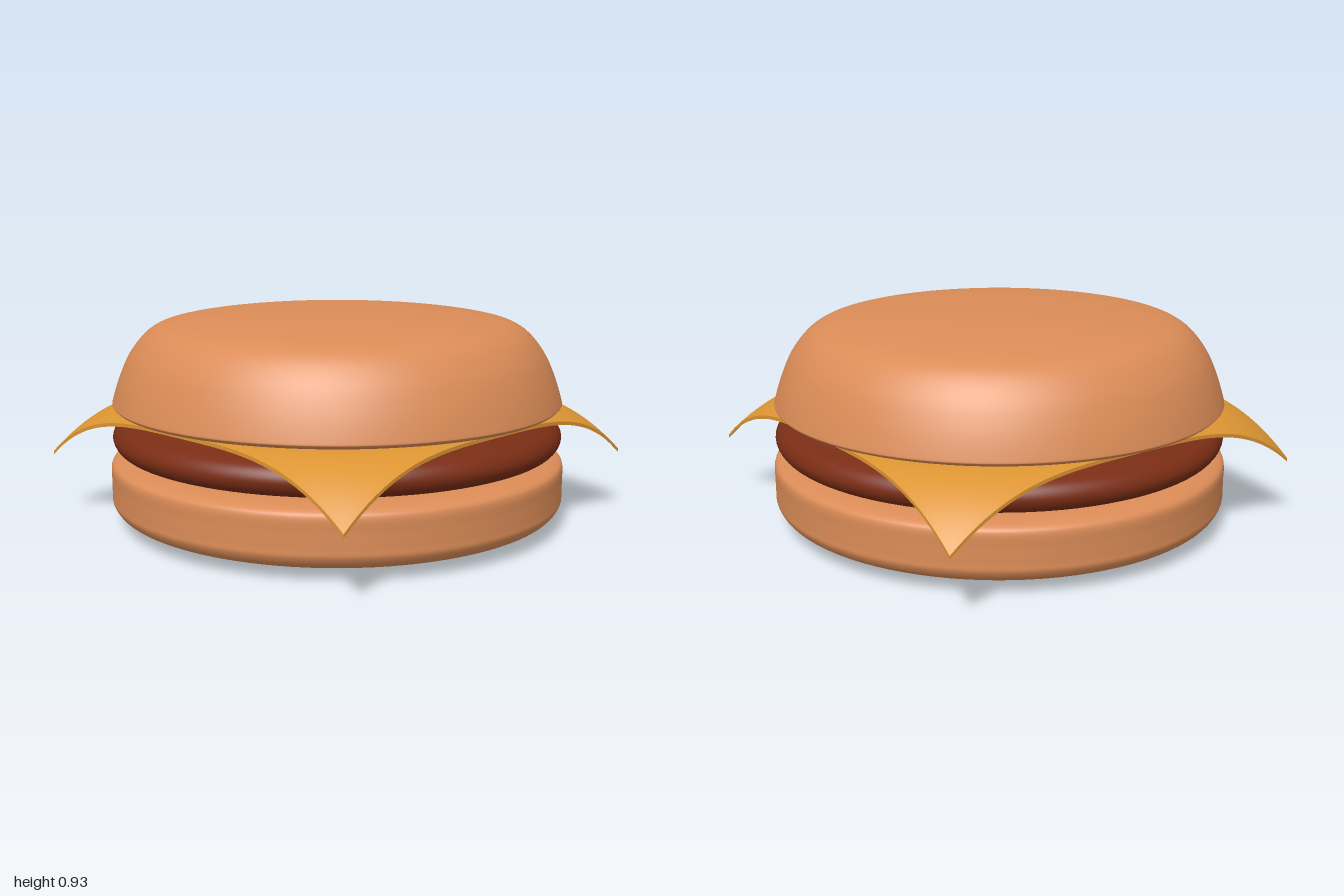
import * as THREE from 'three';

// Smooth round body turned from a few [radius, height] points, bottom to top
function turned(name, color, points) {
  const curve = new THREE.SplineCurve(points.map(([r, y]) => new THREE.Vector2(r, y)));
  const profile = curve.getPoints(64);
  profile.forEach((p) => { p.x = Math.max(p.x, 0); });
  const mesh = new THREE.Mesh(
    new THREE.LatheGeometry(profile, 96),
    new THREE.MeshStandardMaterial({ color })
  );
  mesh.name = name;
  return mesh;
}

// Thin square slice whose corners droop beyond the round patty
function cheeseSlice() {
  const size = 1.8, thickness = 0.015, top = 0.5;
  const geometry = new THREE.BoxGeometry(size, thickness, size, 48, 1, 48);
  const pos = geometry.attributes.position;
  for (let i = 0; i < pos.count; i++) {
    const r = Math.hypot(pos.getX(i), pos.getZ(i));
    const t = Math.max(0, (r - 0.89) / 0.383);
    pos.setY(i, pos.getY(i) + top - thickness / 2 - 0.215 * t * t);
  }
  geometry.computeVertexNormals();
  const mesh = new THREE.Mesh(geometry, new THREE.MeshStandardMaterial({ color: 0xdd9533 }));
  mesh.name = 'cheeseSlice';
  return mesh;
}

export function createModel() {
  const group = new THREE.Group();
  group.name = 'cheeseburger';
  const bun = 0xdb8c57;

  group.add(
    turned('bottomBun', bun, [
      [0, 0], [0.4, 0.006], [0.7, 0.016], [0.87, 0.032], [0.96, 0.058], [0.997, 0.1],
      [1, 0.14], [1, 0.2], [1, 0.255], [0.985, 0.28], [0.94, 0.295], [0.85, 0.302],
      [0.5, 0.304], [0, 0.305],
    ]),
    turned('patty', 0x7a2d15, [
      [0, 0.3], [0.5, 0.302], [0.8, 0.304], [0.9, 0.313], [0.965, 0.337], [0.99, 0.385],
      [0.965, 0.433], [0.9, 0.458], [0.8, 0.474], [0.5, 0.484], [0, 0.485],
    ]),
    cheeseSlice(),
    turned('topBun', bun, [
      [0, 0.501], [0.5, 0.501], [0.85, 0.504], [0.95, 0.512], [0.984, 0.527], [0.984, 0.55],
      [0.95, 0.654], [0.9, 0.755], [0.82, 0.842], [0.71, 0.882], [0.47, 0.912],
      [0.25, 0.925], [0, 0.93],
    ])
  );
  return group;
}
